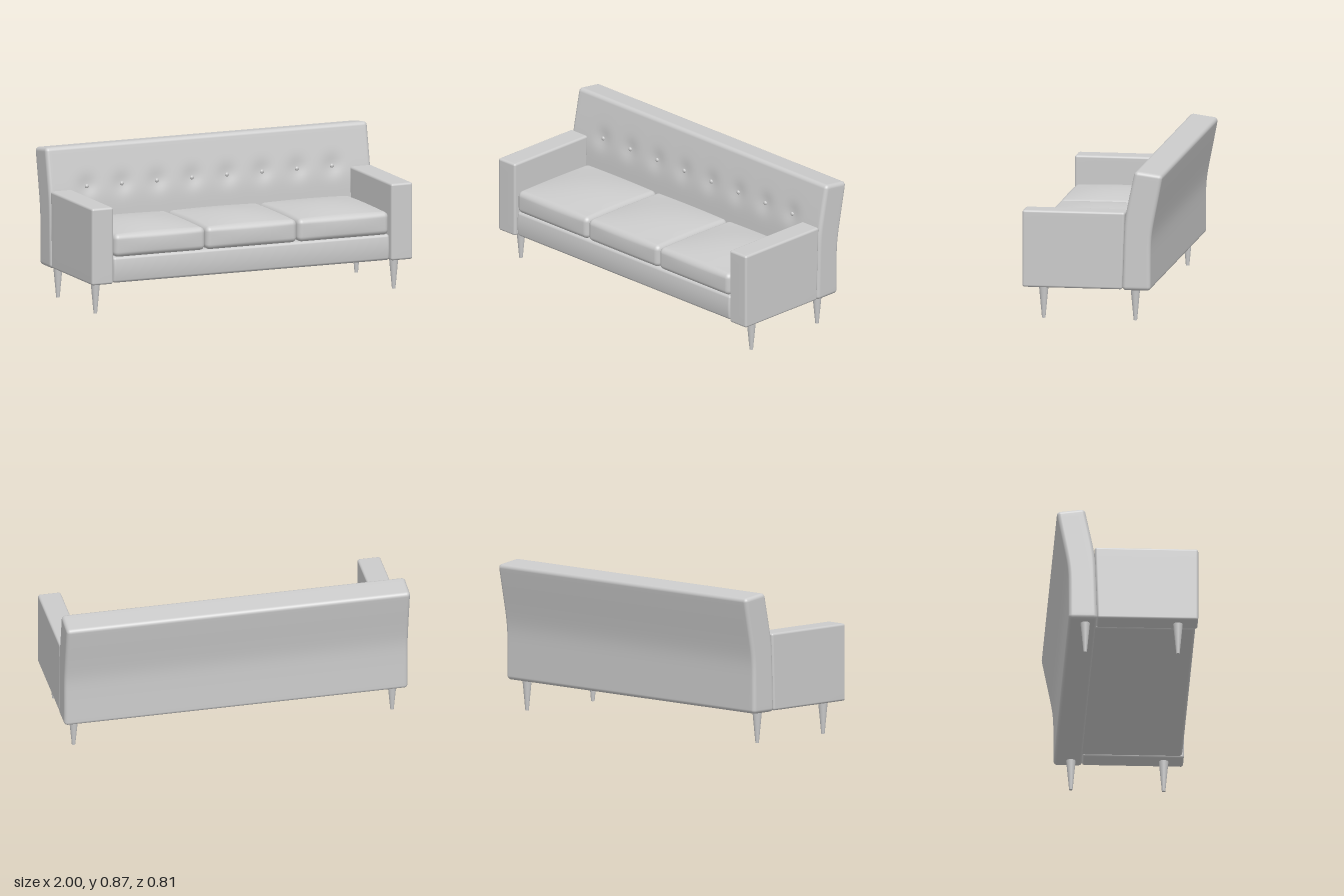
import * as THREE from 'three';
import { mergeVertices } from 'three/addons/utils/BufferGeometryUtils.js';

const material = new THREE.MeshStandardMaterial({ color: 0xcccccc });
const ROUND = 4; // segments across each rounded edge

// Rounded box with subdivided faces, so that warp(p, u, v, w) can reshape it (u, v, w run -1..1).
function softBox(size, radius, segments, warp) {
  const counts = segments.map((n) => n + 2 * ROUND);
  const geometry = new THREE.BoxGeometry(...size, ...counts);
  geometry.deleteAttribute('uv');
  geometry.deleteAttribute('normal');
  const pos = geometry.attributes.position;
  const p = new THREE.Vector3();
  const core = new THREE.Vector3();
  for (let i = 0; i < pos.count; i++) {
    p.fromBufferAttribute(pos, i);
    for (let a = 0; a < 3; a++) {
      const half = size[a] / 2 - radius;
      const k = Math.round((p.getComponent(a) / size[a] + 0.5) * counts[a]);
      const low = ROUND - k;
      const high = k - (counts[a] - ROUND);
      const over = Math.max(low, high, 0);
      const sign = low > 0 ? -1 : 1;
      const c = over > 0 ? sign * half : -half + (2 * half * (k - ROUND)) / segments[a];
      core.setComponent(a, c);
      p.setComponent(a, over > 0 ? sign * Math.tan((over / ROUND) * Math.PI / 4) * radius : 0);
    }
    p.setLength(radius).add(core);
    if (warp) warp(p, (2 * p.x) / size[0], (2 * p.y) / size[1], (2 * p.z) / size[2]);
    pos.setXYZ(i, p.x, p.y, p.z);
  }
  const merged = mergeVertices(geometry, 1e-5);
  merged.computeVertexNormals();
  return merged;
}

// A straight line that bends softly at y0.
const bend = (y, y0) => 0.03 * Math.log(1 + Math.exp((y - y0) / 0.03));
const backFront = (y) => -0.173 - 0.03 * (y - 0.18) - 0.18 * bend(y, 0.58);
const backRear = (y) => -0.337 - 0.18 * bend(y, 0.48);

const BUTTON_Y = 0.635;
const buttonXs = [-7, -5, -3, -1, 1, 3, 5, 7].map((k) => k * 0.1085);

function dimple(x, y) {
  let depth = 0;
  for (const bx of buttonXs) {
    const dx = x - bx;
    const dy = y - BUTTON_Y;
    depth += 0.012 * Math.exp(-(dx * dx + dy * dy) / 0.003);
  }
  return depth;
}

export function createModel() {
  const group = new THREE.Group();
  const add = (name, geometry, x = 0, y = 0, z = 0) => {
    const mesh = new THREE.Mesh(geometry, material);
    mesh.name = name;
    mesh.position.set(x, y, z);
    group.add(mesh);
    return mesh;
  };

  // Leaning backrest with button dimples
  const bottom = 0.18;
  const height = 0.688;
  add('backrest', softBox([1.996, height, 0.16], 0.022, [110, 34, 4], (p, u, v, w) => {
    const y = p.y + height / 2 + bottom;
    const t = (w + 1) / 2;
    p.z = THREE.MathUtils.lerp(backRear(y), backFront(y), t);
    p.z -= dimple(p.x, y) * THREE.MathUtils.smoothstep(t, 0.5, 1);
    p.y = y - (1 - t) * 0.022 * THREE.MathUtils.smoothstep(y, 0.5, 0.85);
  }));

  // Backrest buttons
  const buttonGeometry = new THREE.SphereGeometry(0.012, 16, 10);
  for (const x of buttonXs) {
    const z = backFront(BUTTON_Y) - dimple(x, BUTTON_Y);
    add('button', buttonGeometry, x, BUTTON_Y, z + 0.002).scale.z = 0.7;
  }

  // Arms, their rear edge following the backrest
  const armGeometry = softBox([0.133, 0.443, 0.574], 0.013, [2, 8, 4], (p, u, v, w) => {
    p.z -= ((1 - w) / 2) * (v + 1) * 0.0075;
  });
  for (const side of [1, -1]) {
    add(side > 0 ? 'leftArm' : 'rightArm', armGeometry, side * 0.928, 0.406, 0.113);
  }

  // Seat base with a slightly full front
  add('seatBase', softBox([1.712, 0.15, 0.575], 0.016, [8, 8, 4], (p, u, v, w) => {
    if (w > 0) p.z += 0.008 * w * (1 - v * v);
  }), 0, 0.261, 0.098);

  // Crowned seat cushions
  const cushionGeometry = softBox([0.564, 0.132, 0.57], 0.03, [14, 6, 14], (p, u, v, w) => {
    const crown = (1 - u * u) * (1 - w * w);
    if (v > 0) p.y += 0.03 * v * crown;
    if (w > 0) p.z += 0.007 * w * (1 - u * u) * (1 - v * v);
  });
  for (const i of [-1, 0, 1]) add('seatCushion', cushionGeometry, i * 0.569, 0.4, 0.111);

  // Tapered legs
  const legGeometry = new THREE.CylinderGeometry(0.028, 0.01, 0.19, 24);
  for (const x of [-0.925, 0.925]) {
    for (const z of [0.287, -0.24]) add(z > 0 ? 'frontLeg' : 'backLeg', legGeometry, x, 0.095, z);
  }

  return group;
}
